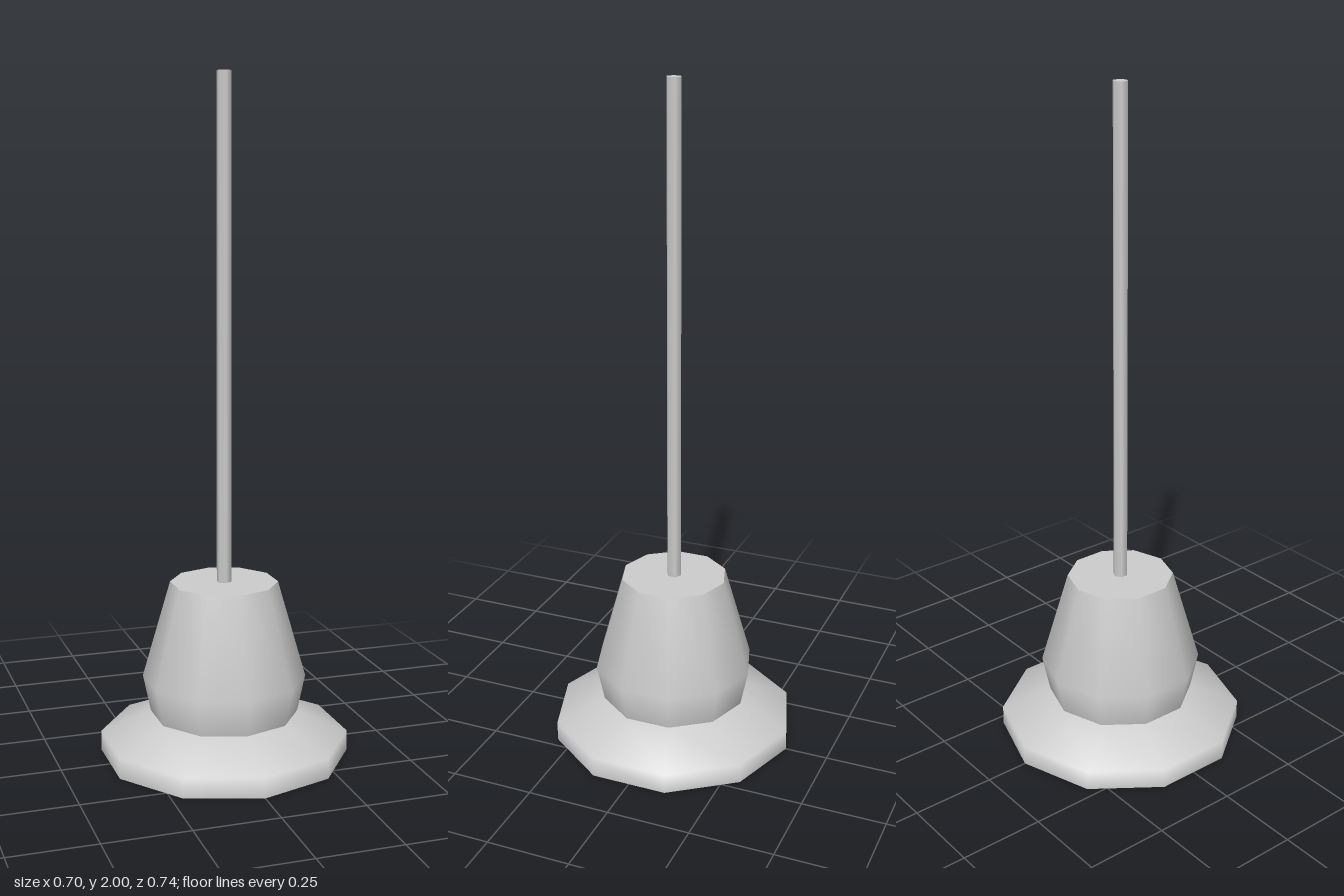
import * as THREE from 'three';

const SIDES = 10;
const HOLE_SIDES = 20;
const HOLE_RADIUS = 0.285;
const HOLE_DEPTH = 0.08;

const material = new THREE.MeshStandardMaterial({ color: 0xcccccc });

function part(name, geometry, y = 0) {
  const mesh = new THREE.Mesh(geometry, material);
  mesh.name = name;
  mesh.position.y = y;
  return mesh;
}

// Revolved wall, smooth along its profile; points are [radius, height]
function wall(points, sides) {
  return new THREE.LatheGeometry(points.map(([r, y]) => new THREE.Vector2(r, y)), sides);
}

// Flat disc with a corner on the z axis, facing up or down
function disc(radius, sides, up) {
  return new THREE.CircleGeometry(radius, sides, Math.PI / 2).rotateX(up ? -Math.PI / 2 : Math.PI / 2);
}

// Corners of a regular polygon, the first one on the second axis
function polygon(radius, sides) {
  return Array.from({ length: sides }, (_, i) => {
    const a = (i / sides) * Math.PI * 2;
    return new THREE.Vector2(Math.sin(a) * radius, Math.cos(a) * radius);
  });
}

export function createModel() {
  const model = new THREE.Group();
  model.name = 'rodOnStand';

  // Flared foot with a hollow underside
  const base = new THREE.Group();
  base.name = 'base';
  const rim = new THREE.Shape(polygon(0.37, SIDES));
  rim.holes.push(new THREE.Path(polygon(HOLE_RADIUS, HOLE_SIDES)));
  base.add(
    part('baseSkirt', wall([[0.37, 0], [0.37, 0.06], [0.22, 0.125]], SIDES)),
    part('baseUnderside', new THREE.ShapeGeometry(rim).rotateX(Math.PI / 2)),
    part('recessWall', wall([[HOLE_RADIUS, HOLE_DEPTH], [HOLE_RADIUS, 0]], HOLE_SIDES)),
    part('recessCeiling', disc(HOLE_RADIUS, HOLE_SIDES, false), HOLE_DEPTH),
  );

  // Tapered body with a flat top
  const body = new THREE.Group();
  body.name = 'body';
  body.add(
    part('bodyWall', wall([[0.22, 0.125], [0.243, 0.235], [0.16, 0.525]], SIDES)),
    part('bodyTop', disc(0.16, SIDES, true), 0.525),
  );

  // Thin six-sided rod
  const rod = part('rod', new THREE.CylinderGeometry(0.022, 0.022, 1.475, 6), 0.525 + 1.475 / 2);

  model.add(base, body, rod);
  return model;
}
